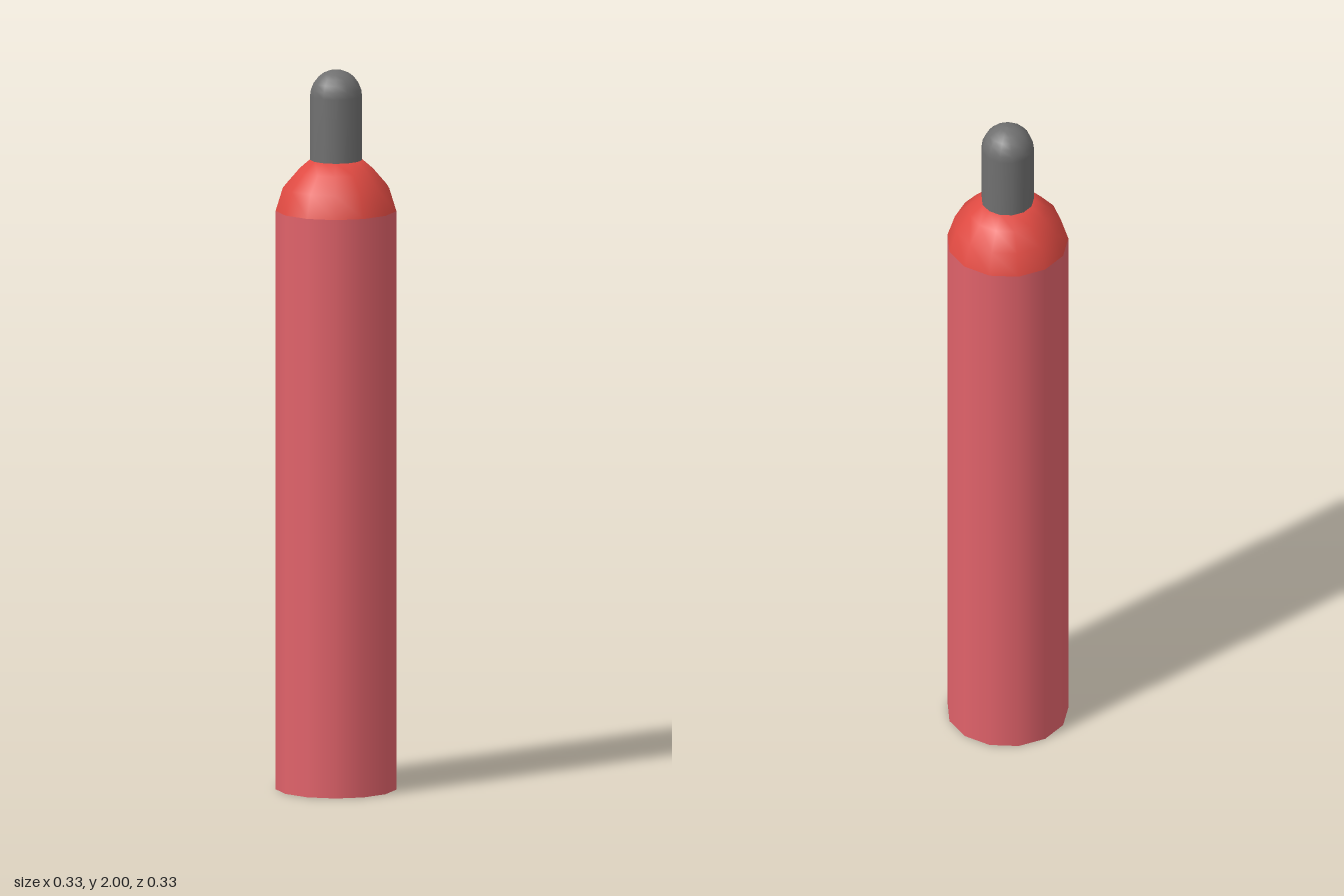
import * as THREE from 'three';

const SIDES = 13;
const BODY_R = 0.167, BODY_TOP = 1.61;
const CAP_R = 0.072, CAP_BASE = 1.75, CAP_DOME = 1.928;

function addPart(group, name, geometry, color) {
  const mesh = new THREE.Mesh(geometry, new THREE.MeshStandardMaterial({ color }));
  mesh.name = name;
  group.add(mesh);
  return mesh;
}

// Lathe with one corner pointing to the back (-z)
function turned(points) {
  return new THREE.LatheGeometry(points.map(([r, y]) => new THREE.Vector2(r, y)), SIDES, Math.PI);
}

export function createModel() {
  const group = new THREE.Group();
  group.name = 'gasCylinder';

  // Straight tank with a flat base
  const body = addPart(group, 'tankBody',
    new THREE.CylinderGeometry(BODY_R, BODY_R, BODY_TOP, SIDES, 1, false, Math.PI), 0xe0626a);
  body.position.y = BODY_TOP / 2;

  // Rounded shoulder, closed under the valve cap
  addPart(group, 'shoulder', turned([
    [BODY_R, BODY_TOP], [0.147, 1.674], [0.107, 1.72], [0.07, 1.752], [0, 1.756],
  ]), 0xe04a42);

  // Valve cap: straight sleeve ending in a hemisphere
  const cap = [[CAP_R, CAP_BASE]];
  const steps = 6;
  for (let i = 0; i <= steps; i++) {
    const a = (i / steps) * Math.PI / 2;
    cap.push([i === steps ? 0 : CAP_R * Math.cos(a), CAP_DOME + (2 - CAP_DOME) * Math.sin(a)]);
  }
  addPart(group, 'valveCap', turned(cap), 0x707070);

  return group;
}
